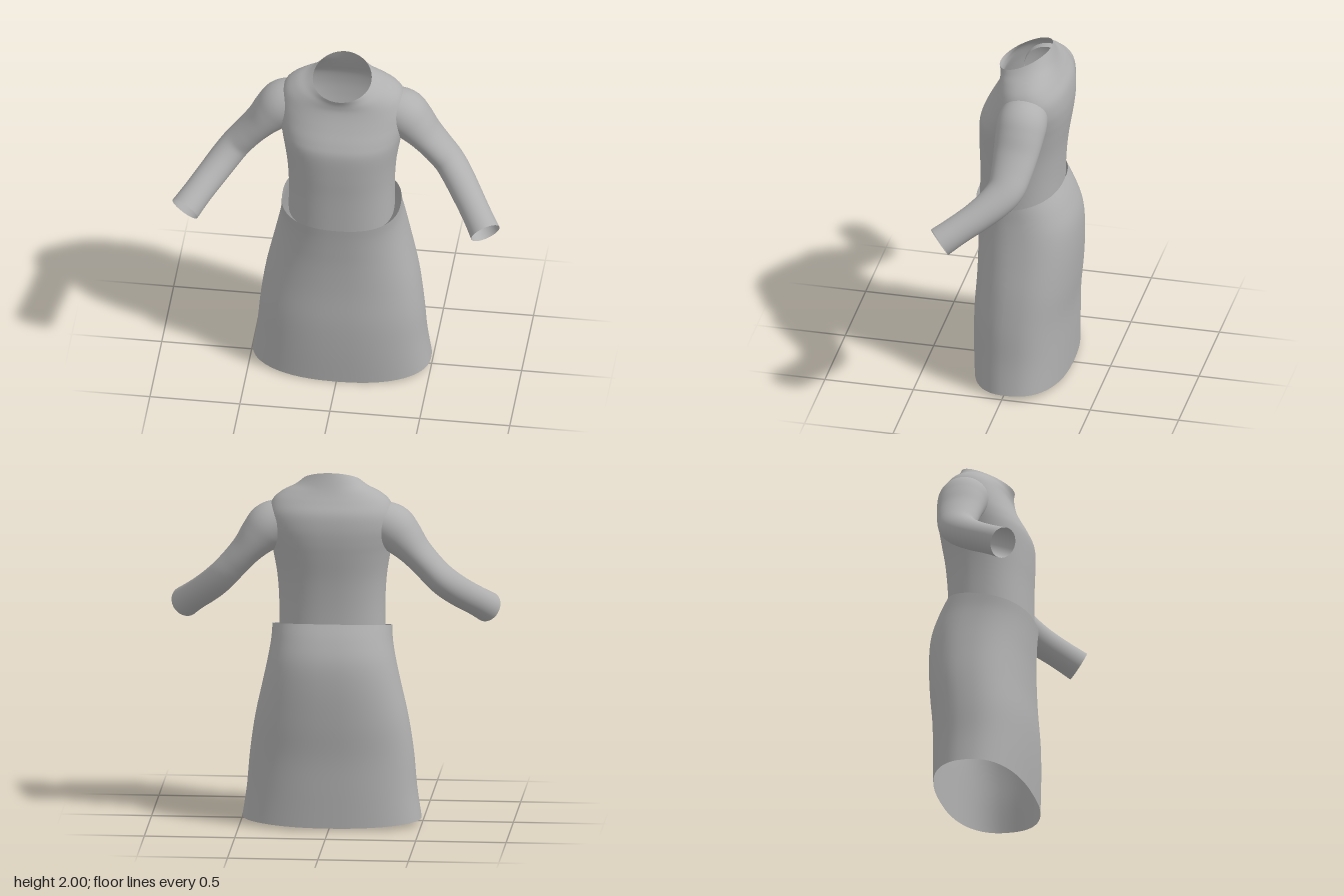
import * as THREE from 'three';

const SEGMENTS = 56;

// Smoothly resample rows of numbers with a Catmull-Rom rule
function resample(rows, steps) {
  const out = [];
  const last = rows.length - 1;
  for (let i = 0; i < last; i++) {
    const p0 = rows[Math.max(i - 1, 0)], p1 = rows[i];
    const p2 = rows[i + 1], p3 = rows[Math.min(i + 2, last)];
    for (let s = 0; s < steps; s++) {
      const t = s / steps;
      out.push(p1.map((b, k) => {
        const a = p0[k], c = p2[k], d = p3[k];
        return 0.5 * (2 * b + (c - a) * t + (2 * a - 5 * b + 4 * c - d) * t * t
          + (3 * b - a - 3 * c + d) * t * t * t);
      }));
    }
  }
  out.push(rows[last]);
  return out;
}

// Join closed rings of points into an open, smooth tube
function loft(rings) {
  const pos = [], index = [];
  rings.forEach((ring) => ring.forEach((p) => pos.push(p.x, p.y, p.z)));
  for (let i = 0; i < rings.length - 1; i++) {
    for (let j = 0; j < SEGMENTS; j++) {
      const k = (j + 1) % SEGMENTS;
      const a = i * SEGMENTS + j, b = i * SEGMENTS + k;
      const c = a + SEGMENTS, d = b + SEGMENTS;
      index.push(a, c, b, b, c, d);
    }
  }
  const geo = new THREE.BufferGeometry();
  geo.setAttribute('position', new THREE.Float32BufferAttribute(pos, 3));
  geo.setIndex(index);
  geo.computeVertexNormals();
  return geo;
}

// Tilted superellipse rings: [yFront, yBack, zFront, zBack, halfWidth, exponent, sideLift]
function bodyGeometry(rows) {
  return loft(resample(rows, 5).map(([yF, yB, zF, zB, w, n, lift]) => {
    const ring = [];
    for (let j = 0; j < SEGMENTS; j++) {
      const a = (j / SEGMENTS) * Math.PI * 2;
      const cos = Math.cos(a), sin = Math.sin(a);
      const x = Math.sign(cos) * Math.abs(cos) ** (2 / n);
      const s = Math.sign(sin) * Math.abs(sin) ** (2 / n);
      const t = (s + 1) / 2;
      ring.push(new THREE.Vector3(w * x, yB + (yF - yB) * t + lift * x * x, zB + (zF - zB) * t));
    }
    return ring;
  }));
}

// Elliptical rings along a bent arm: [x, y, z, radiusAcross, radiusDepth]
function sleeveGeometry(rows, side) {
  const path = resample(rows, 5);
  const points = path.map(([x, y, z]) => new THREE.Vector3(x * side, y, z));
  return loft(path.map((row, i) => {
    const T = points[Math.min(i + 1, points.length - 1)].clone()
      .sub(points[Math.max(i - 1, 0)]).normalize();
    const B = new THREE.Vector3(0, 0, 1).addScaledVector(T, -T.z).normalize();
    const N = T.clone().cross(B);
    const ring = [];
    for (let j = 0; j < SEGMENTS; j++) {
      const a = (j / SEGMENTS) * Math.PI * 2;
      ring.push(points[i].clone()
        .addScaledVector(N, Math.cos(a) * row[3])
        .addScaledVector(B, Math.sin(a) * row[4]));
    }
    return ring;
  }));
}

const SKIRT = [
  [0.005, 0.018, 0.232, -0.295, 0.495, 2.4, 0.018],
  [0.2, 0.2, 0.24, -0.3, 0.47, 2.4, 0],
  [0.4, 0.4, 0.24, -0.306, 0.452, 2.4, 0],
  [0.6, 0.6, 0.228, -0.325, 0.423, 2.4, 0],
  [0.78, 0.8, 0.225, -0.335, 0.382, 2.4, 0],
  [0.9, 0.95, 0.229, -0.325, 0.353, 2.4, 0],
  [0.99, 1.07, 0.234, -0.285, 0.335, 2.4, 0],
  [1.06, 1.16, 0.24, -0.24, 0.33, 2.4, 0],
];

const BODICE = [
  [1.03, 1.1, 0.222, -0.23, 0.292, 2.4, 0],
  [1.25, 1.25, 0.22, -0.235, 0.292, 2.4, 0],
  [1.4, 1.4, 0.224, -0.248, 0.302, 2.4, 0],
  [1.54, 1.54, 0.222, -0.27, 0.325, 2.4, 0],
  [1.61, 1.62, 0.198, -0.281, 0.34, 2.4, 0],
  [1.68, 1.7, 0.16, -0.284, 0.352, 2.4, 0],
  [1.74, 1.78, 0.13, -0.272, 0.348, 2.4, 0.005],
  [1.785, 1.84, 0.113, -0.24, 0.32, 2.3, 0.02],
  [1.815, 1.885, 0.11, -0.215, 0.265, 2.2, 0.028],
  [1.84, 1.93, 0.113, -0.195, 0.205, 2.1, 0.02],
  [1.865, 2.0, 0.122, -0.17, 0.163, 2, -0.005],
];

const SLEEVE = [
  [0.23, 1.725, -0.08, 0.11, 0.12],
  [0.33, 1.685, -0.078, 0.128, 0.138],
  [0.395, 1.625, -0.075, 0.113, 0.135],
  [0.46, 1.55, -0.07, 0.09, 0.126],
  [0.525, 1.475, -0.062, 0.082, 0.115],
  [0.59, 1.4, -0.045, 0.082, 0.104],
  [0.645, 1.34, 0.005, 0.083, 0.095],
  [0.71, 1.275, 0.09, 0.082, 0.086],
  [0.775, 1.215, 0.185, 0.081, 0.082],
  [0.835, 1.158, 0.275, 0.085, 0.085],
];

export function createModel() {
  const cloth = new THREE.MeshStandardMaterial({ color: 0xb0b0b0, side: THREE.DoubleSide });
  cloth.name = 'grey cloth';
  const model = new THREE.Group();
  model.name = 'dress';
  const add = (name, geometry) => {
    const mesh = new THREE.Mesh(geometry, cloth);
    mesh.name = name;
    model.add(mesh);
  };

  add('skirt', bodyGeometry(SKIRT));
  add('bodice', bodyGeometry(BODICE));
  add('leftSleeve', sleeveGeometry(SLEEVE, 1));
  add('rightSleeve', sleeveGeometry(SLEEVE, -1));
  return model;
}
